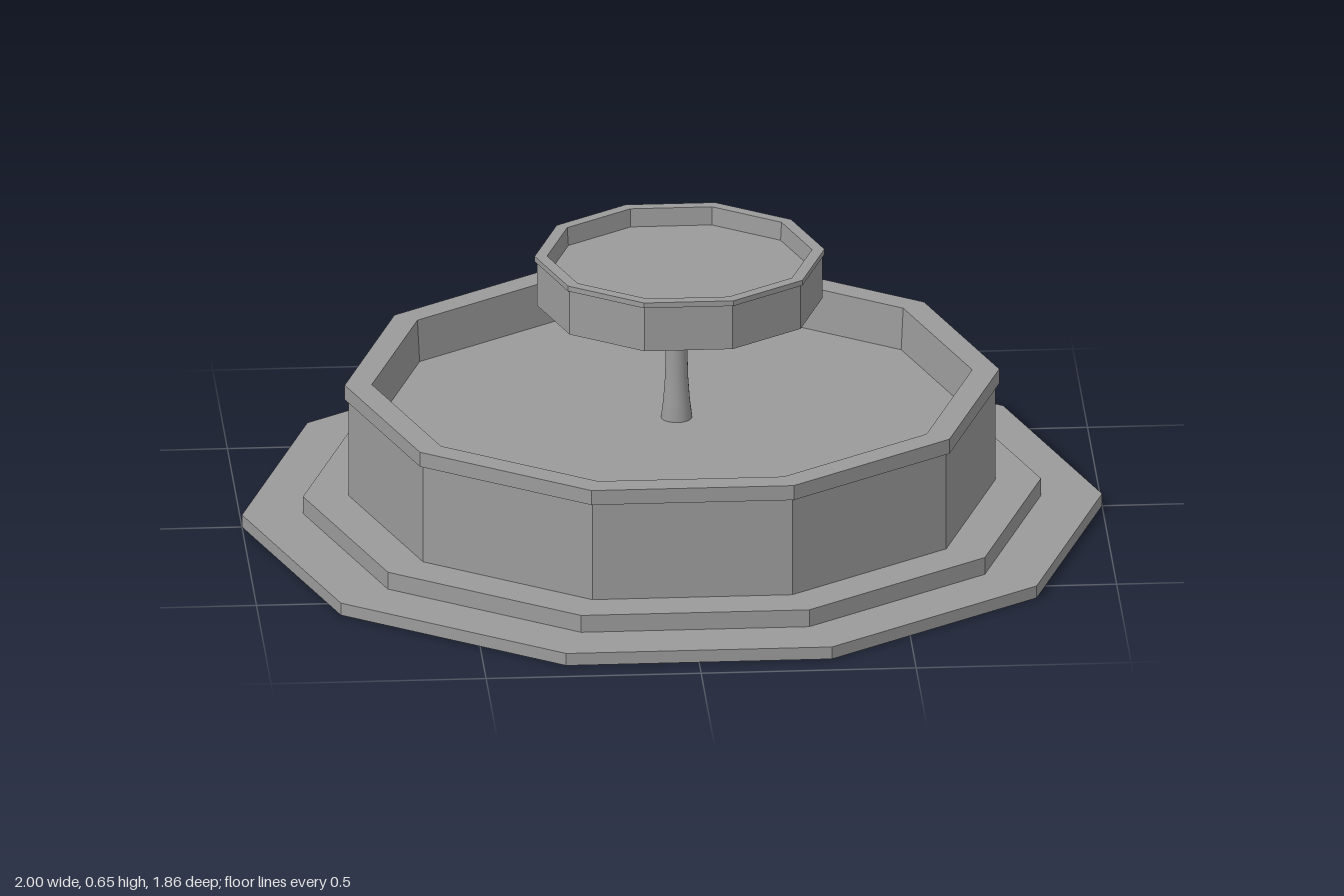
import * as THREE from 'three';

const SIDES = 10;
const DEPTH_SCALE = 0.978; // the decagons are slightly narrower in z

function stone(flatShading) {
  return new THREE.MeshStandardMaterial({ color: 0x9b9b9b, flatShading, side: THREE.DoubleSide });
}
const facetedStone = stone(true);
const smoothStone = stone(false);

function lathe(profile, sides) {
  const points = profile.map(([r, y]) => new THREE.Vector2(r, y));
  return new THREE.LatheGeometry(points, sides, Math.PI / 2);
}

// Faceted decagonal shell from [radius, height] pairs, with corners on the x axis
function shell(name, profile) {
  const geometry = lathe(profile, SIDES).toNonIndexed();
  geometry.scale(1, 1, DEPTH_SCALE);
  geometry.computeVertexNormals();
  const mesh = new THREE.Mesh(geometry, facetedStone);
  mesh.name = name;
  return mesh;
}

export function createModel() {
  const fountain = new THREE.Group();
  fountain.name = 'fountain';

  // Two low steps, open underneath
  fountain.add(shell('lowerStep', [[1, 0], [1, 0.03], [0.858, 0.03]]));
  fountain.add(shell('upperStep', [[0.858, 0.03], [0.858, 0.072], [0.752, 0.072]]));

  // Main basin: wall, overhanging rim, slightly tapered inner wall and floor
  fountain.add(shell('basin', [
    [0.752, 0.072], [0.752, 0.311], [0.761, 0.311], [0.761, 0.347],
    [0.698, 0.347], [0.692, 0.245], [0, 0.245],
  ]));

  // Smooth flared post, running from just below the basin floor into the bowl
  const post = new THREE.Mesh(lathe([
    [0.035, 0.205], [0.036, 0.25], [0.031, 0.29], [0.027, 0.345], [0.025, 0.42], [0.024, 0.61],
  ], 24), smoothStone);
  post.name = 'post';
  post.position.set(0.011, 0, -0.006);
  fountain.add(post);

  // Upper bowl, a small version of the basin set slightly off centre
  const bowl = shell('bowl', [
    [0.332, 0.532], [0.332, 0.641], [0.337, 0.641], [0.337, 0.654],
    [0.308, 0.654], [0.305, 0.61], [0, 0.61],
  ]);
  bowl.position.set(0.018, 0, -0.006);
  fountain.add(bowl);

  return fountain;
}
